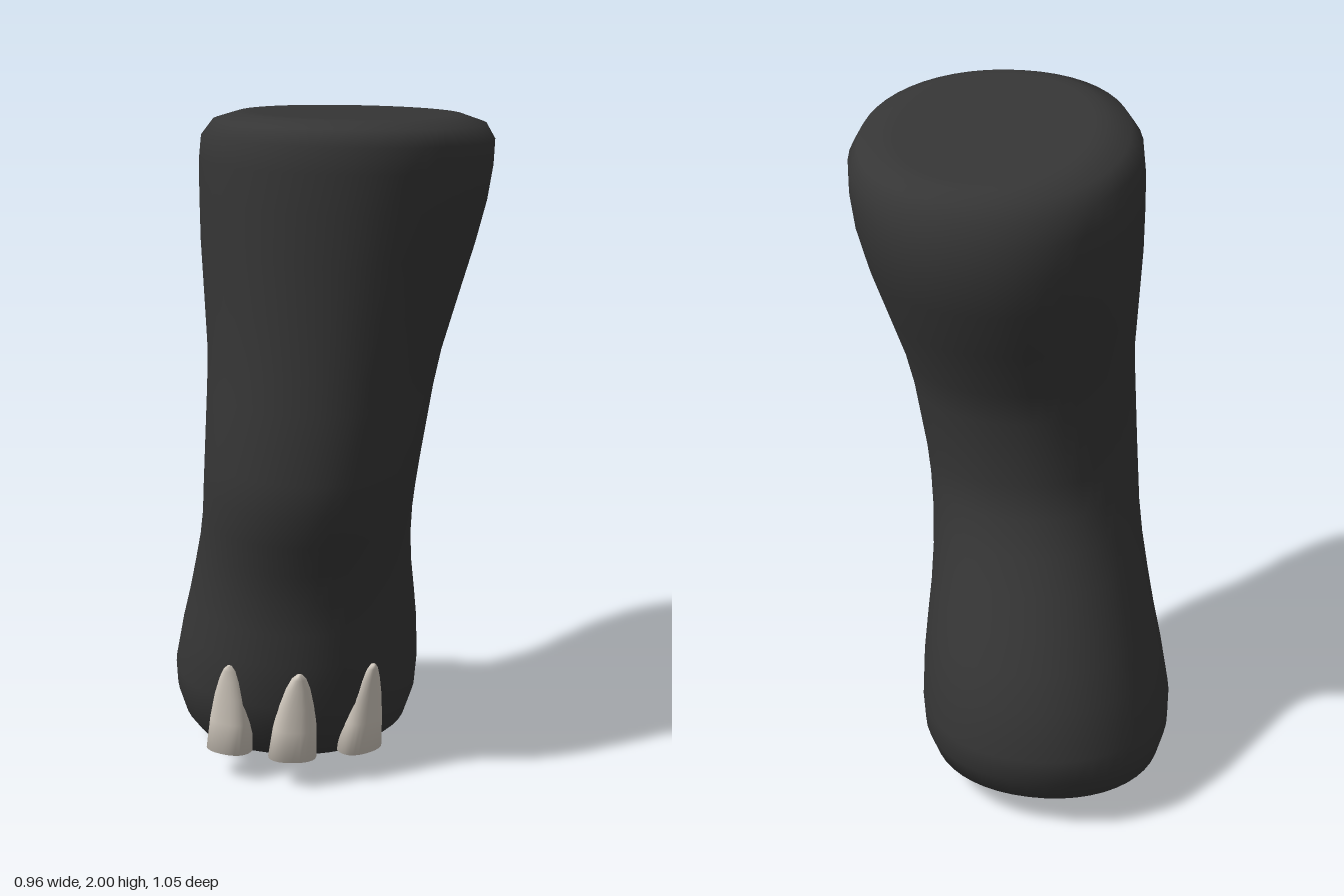
import * as THREE from 'three';

// Lofts rounded cross-sections from bottom to top and closes both ends.
// Each row: [y, xMin, xMax, zMin, zMax, tilt]
function loft(rows, segments, power, skew) {
  const positions = [], index = [];
  const soften = v => Math.sign(v) * Math.abs(v) ** (2 / power);
  const first = rows[0], last = rows[rows.length - 1];
  const collapse = r => {
    const x = (r[1] + r[2]) / 2, z = (r[3] + r[4]) / 2;
    return [r[0], x, x, z, z, 0];
  };
  const rings = [collapse(first), ...rows, collapse(last)];
  for (const [y, x0, x1, z0, z1, tilt = 0] of rings) {
    for (let i = 0; i < segments; i++) {
      const a = (i / segments) * Math.PI * 2;
      const dz = soften(Math.cos(a)) * (z1 - z0) / 2;
      const dx = soften(Math.sin(a)) * (x1 - x0) / 2;
      positions.push((x0 + x1) / 2 + dx + skew * dz, y + tilt * dz, (z0 + z1) / 2 + dz);
    }
  }
  for (let r = 0; r < rings.length - 1; r++) {
    for (let i = 0; i < segments; i++) {
      const j = (i + 1) % segments;
      const a = r * segments + i, b = r * segments + j;
      const c = a + segments, d = b + segments;
      if (r > 0) index.push(a, b, d);
      if (r < rings.length - 2) index.push(a, d, c);
    }
  }
  const geometry = new THREE.BufferGeometry();
  geometry.setAttribute('position', new THREE.Float32BufferAttribute(positions, 3));
  geometry.setIndex(index);
  geometry.computeVertexNormals();
  return geometry;
}

export function createModel() {
  const group = new THREE.Group();
  const skin = new THREE.MeshStandardMaterial({ color: 0x363636 });
  skin.name = 'dark skin';
  const nail = new THREE.MeshStandardMaterial({ color: 0xd0c8bd });
  nail.name = 'pale nail';

  // Leg: rounded sole, wide foot, narrow ankle, slanted flat top
  const legRows = [
    [0.00, -0.21, -0.04, -0.17, 0.02],
    [0.02, -0.35, 0.08, -0.26, 0.08],
    [0.05, -0.42, 0.17, -0.38, 0.17],
    [0.10, -0.455, 0.225, -0.465, 0.23],
    [0.18, -0.478, 0.252, -0.512, 0.275],
    [0.26, -0.478, 0.26, -0.524, 0.31],
    [0.40, -0.447, 0.26, -0.495, 0.335],
    [0.50, -0.42, 0.255, -0.455, 0.343],
    [0.60, -0.395, 0.25, -0.41, 0.36],
    [0.70, -0.37, 0.252, -0.36, 0.39],
    [0.80, -0.35, 0.262, -0.312, 0.432],
    [0.90, -0.338, 0.277, -0.275, 0.468],
    [1.00, -0.33, 0.293, -0.262, 0.484],
    [1.20, -0.322, 0.325, -0.285, 0.486],
    [1.30, -0.322, 0.345, -0.316, 0.485],
    [1.45, -0.335, 0.387, -0.378, 0.488, 0.02],
    [1.60, -0.347, 0.43, -0.436, 0.5, 0.05],
    [1.72, -0.35, 0.46, -0.464, 0.512, 0.08],
    [1.82, -0.349, 0.476, -0.465, 0.521, 0.1],
    [1.89, -0.34, 0.48, -0.448, 0.523, 0.106],
    [1.935, -0.305, 0.455, -0.42, 0.505, 0.106],
    [1.955, -0.24, 0.39, -0.38, 0.45, 0.106],
    [1.957, -0.2, 0.35, -0.34, 0.41, 0.106],
  ];
  const leg = new THREE.Mesh(loft(legRows, 48, 2.1, 0.04), skin);
  leg.name = 'leg';
  group.add(leg);

  // Toenails: tapered wedges partly sunk into the foot
  // [name, base x, base z, tip x, tip z, outward angle in degrees]
  const toes = [
    ['leftToenail', 0.165, 0.2, 0.183, 0.222, 48],
    ['middleToenail', -0.05, 0.312, -0.02, 0.346, 8],
    ['rightToenail', -0.265, 0.285, -0.238, 0.312, -17],
  ];
  const profile = [[0, 0.071], [0.1, 0.064], [0.18, 0.052], [0.24, 0.036], [0.275, 0.021], [0.29, 0.006]];
  for (const [name, x, z, tipX, tipZ, degrees] of toes) {
    const angle = THREE.MathUtils.degToRad(degrees);
    const dx = tipX - x, dz = tipZ - z;
    const lean = dx * Math.cos(angle) - dz * Math.sin(angle);
    const rise = dx * Math.sin(angle) + dz * Math.cos(angle);
    const rows = profile.map(([y, w]) => {
      const t = y / 0.29;
      return [y, lean * t - w, lean * t + w, rise * t - 0.03 - w, rise * t];
    });
    const toenail = new THREE.Mesh(loft(rows, 24, 2.3, 0), nail);
    toenail.name = name;
    toenail.position.set(x, 0.09, z);
    toenail.rotation.y = angle;
    group.add(toenail);
  }
  return group;
}
